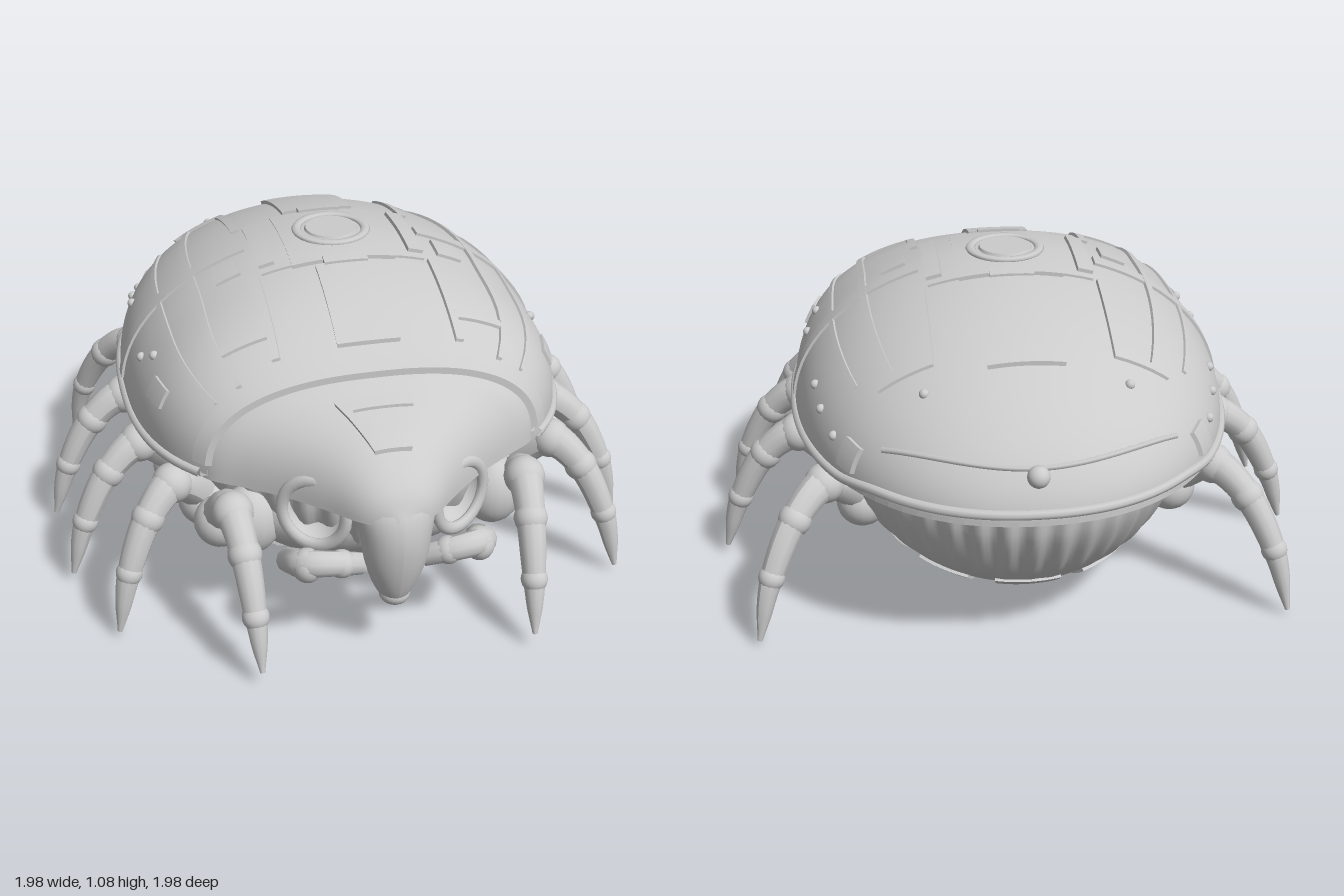
import * as THREE from 'three';
import { toCreasedNormals } from 'three/addons/utils/BufferGeometryUtils.js';

const mat = new THREE.MeshStandardMaterial({ color: 0xcccccc, side: THREE.DoubleSide });
const V = (x, y, z) => new THREE.Vector3(x, y, z);
const lerp = THREE.MathUtils.lerp;
const BASE = 0.56;

// Surface from a rule fn(u, v) -> Vector3
function grid(fn, nu, nv) {
  const g = new THREE.PlaneGeometry(1, 1, nu, nv);
  const p = g.attributes.position, uv = g.attributes.uv;
  for (let i = 0; i < p.count; i++) {
    const q = fn(uv.getX(i), uv.getY(i));
    p.setXYZ(i, q.x, q.y, q.z);
  }
  g.computeVertexNormals();
  return g;
}

// Raised plate that follows a surface; its outer row drops down as a skirt
function plate(fn, u0, u1, v0, v1, lift, nu = 14, nv = 14, taper = 1) {
  const g = grid((u, v) => {
    const edge = u < 1e-4 || u > 0.9999 || v < 1e-4 || v > 0.9999;
    const cu = THREE.MathUtils.clamp((u * nu - 1) / (nu - 2), 0, 1);
    const cv = THREE.MathUtils.clamp((v * nv - 1) / (nv - 2), 0, 1);
    const w = lerp(1, taper, cv);
    return fn(lerp(u0, u1, cu) * w, lerp(v0, v1, cv), edge ? -0.008 : lift);
  }, nu, nv);
  return toCreasedNormals(g, 0.6);
}

// Half width and height of the shell along z
const sup = (r, n) => Math.pow(Math.max(0, 1 - Math.pow(Math.min(1, r), n)), 1 / n);
const shellW = z => 0.72 * (z < 0 ? sup(-z / 0.98, 2.2) : sup(z / 0.76, 2.6));
const shellH = z => 0.505 * (z < 0 ? sup(-z / 0.98, 1.8) : sup(z / 0.76, 1.9));
const boxy = z => 1 - 0.2 * THREE.MathUtils.smoothstep(z, 0.1, 0.55);
const arch = (a, w, h, k, z, base) =>
  V(Math.sign(a) * w * Math.pow(Math.abs(Math.sin(a)), k), base + h * Math.pow(Math.max(0, Math.cos(a)), k), z);
const shellA = (a, z, lift = 0) => arch(a, shellW(z) + lift, shellH(z) + lift, boxy(z), z, BASE);
const angleAt = (x, w, k) => Math.sign(x) * Math.asin(Math.pow(Math.min(1, Math.abs(x) / w), 1 / k));
const shellX = (x, z, lift = 0) => shellA(angleAt(x, shellW(z), boxy(z)), z, lift);

// Head hood: points hold z, half width, height
const headCurve = new THREE.CatmullRomCurve3([V(0.5, 0.57, 0.335), V(0.58, 0.53, 0.31), V(0.65, 0.43, 0.275),
  V(0.73, 0.32, 0.24), V(0.83, 0.21, 0.19), V(0.93, 0.11, 0.1), V(0.97, 0.02, 0.02)]);
const headA = (a, t, lift = 0) => {
  const c = headCurve.getPoint(t);
  return arch(a, c.y + lift, c.z + lift, 0.85, c.x, 0.53);
};
const headX = (x, t, lift = 0) => headA(angleAt(x, headCurve.getPoint(t).y, 0.85), t, lift);

// Belly: profile of height and scale, with ribs on the upper flank
const bellyCurve = new THREE.CatmullRomCurve3([V(0.57, 1, 0), V(0.45, 0.97, 0), V(0.3, 0.87, 0), V(0.2, 0.76, 0),
  V(0.13, 0.64, 0), V(0.06, 0.42, 0), V(0.018, 0.2, 0), V(0.005, 0, 0)]);
function belly(a, t, lift = 0, ribs = false) {
  const c = bellyCurve.getPoint(t);
  const rib = ribs ? 0.012 * Math.cos(a * 44) * THREE.MathUtils.smoothstep(c.x, 0.17, 0.3) : 0;
  const s = c.y * (1 + rib) + lift * Math.min(1, c.y * 3);
  const dz = Math.cos(a) > 0 ? 0.82 : 0.935;
  return V(Math.sin(a) * 0.63 * s, c.x - lift * (1 - c.y), Math.cos(a) * dz * s);
}

// Tapered limb along a curve
function limb(points, radii, seg = 28, sides = 12) {
  const curve = new THREE.CatmullRomCurve3(points);
  const g = new THREE.TubeGeometry(curve, seg, 1, sides, false);
  const p = g.attributes.position, v = V(0, 0, 0);
  for (let i = 0; i < p.count; i++) {
    const t = Math.floor(i / (sides + 1)) / seg, f = t * (radii.length - 1);
    const j = Math.min(radii.length - 2, Math.floor(f)), c = curve.getPointAt(t);
    v.fromBufferAttribute(p, i).sub(c).multiplyScalar(lerp(radii[j], radii[j + 1], f - j)).add(c);
    p.setXYZ(i, v.x, v.y, v.z);
  }
  g.computeVertexNormals();
  return g;
}

export function createModel() {
  const model = new THREE.Group();
  const add = (name, geo, pos, parent = model) => {
    const m = new THREE.Mesh(geo, mat);
    m.name = name;
    if (pos) m.position.copy(pos);
    parent.add(m);
    return m;
  };
  const ball = (name, r, pos, s = [1, 1, 1], parent = model) => {
    const m = add(name, new THREE.SphereGeometry(r, 20, 14), pos, parent);
    m.scale.set(...s);
    return m;
  };

  // Domed shell
  add('shell', grid((u, v) => shellA((u - 0.5) * Math.PI, 0.6 - 1.58 * Math.sin(v * Math.PI / 2)), 64, 64));
  add('shellFrontLip', plate(shellA, -1.5, 1.5, 0.57, 0.605, 0.014, 60, 5));
  const rimPts = [], under = new THREE.Shape();
  for (let i = 0; i <= 60; i++) {
    const a = (i / 60 - 0.5) * 2, z = Math.abs(a) > 0.999 ? 0.58 : -0.98 + 1.56 * (1 - Math.cos(a * Math.PI / 2));
    const x = Math.sign(a) * shellW(z);
    rimPts.push(V(x, BASE + 0.025 * THREE.MathUtils.smoothstep(-z, 0.6, 0.8), z));
    i ? under.lineTo(x, z) : under.moveTo(x, z);
  }
  add('shellRim', new THREE.TubeGeometry(new THREE.CatmullRomCurve3(rimPts), 120, 0.016, 8));
  const floor = add('shellUnderside', new THREE.ExtrudeGeometry(under, { depth: 0.02, bevelEnabled: false }));
  floor.rotation.x = Math.PI / 2;
  floor.position.y = 0.565;

  // Rear band following the back edge
  const arcPts = [];
  for (let i = -12; i <= 12; i++) {
    const x = i / 12 * 0.45;
    arcPts.push(shellX(x, -0.92 + 0.9 * x * x, 0.002));
  }
  add('rearSeam', new THREE.TubeGeometry(new THREE.CatmullRomCurve3(arcPts), 40, 0.01, 6));
  ball('rearKnob', 0.035, V(0, 0.69, -0.94));

  // Top hatch and spine plates
  add('hatchPlate', plate(shellX, -0.27, 0.27, -0.2, 0.17, 0.008));
  add('hatchCore', plate(shellX, -0.17, 0.17, -0.21, 0.18, 0.013));
  const ring = add('hatchRing', new THREE.TorusGeometry(0.115, 0.016, 8, 36), V(0, 1.073, -0.02));
  ring.rotation.x = Math.PI / 2;
  ring.scale.z = 0.6;
  add('hatchCap', new THREE.CylinderGeometry(0.085, 0.095, 0.02, 32), V(0, 1.072, -0.02));
  add('rearSpinePlate', plate(shellX, -0.12, 0.12, -0.64, -0.24, 0.014));
  add('frontSpinePlate', plate(shellX, -0.1, 0.1, 0.2, 0.52, 0.014));
  for (const z of [-0.22, 0.19]) add('spineBracket', plate(shellX, -0.07, 0.07, z - 0.02, z + 0.02, 0.022, 8, 5));

  for (const s of [1, -1]) {
    const plateA = (n, a0, a1, z0, z1, l) => add(n, plate(shellA, s * a0, s * a1, z0, z1, l, 16, 20));
    const plateX = (n, x0, x1, z0, z1, l) => add(n, plate(shellX, s * x0, s * x1, z0, z1, l, 8, 16));
    // Shell ridges, panel frames and studs
    add('hatchClamp', plate(shellX, s * 0.22, s * 0.27, -0.17, 0.14, 0.02, 6, 10));
    plateA('crossBand', 0.42, 1.5, -0.075, -0.015, 0.009);
    plateA('upperRidge', 0.7, 0.74, -0.58, 0.55, 0.01);
    plateA('lowerRidge', 0.93, 0.96, -0.5, 0.55, 0.008);
    plateX('panelEdge', 0.28, 0.305, -0.58, -0.2, 0.01);
    plateX('panelEdge', 0.28, 0.305, 0.17, 0.52, 0.01);
    plateX('panelBar', 0.3, 0.45, -0.58, -0.555, 0.01);
    plateX('panelBar', 0.3, 0.45, 0.42, 0.445, 0.01);
    plateX('panelBlock', 0.33, 0.41, 0.02, 0.12, 0.01);
    plateA('sideBlock', 1.15, 1.3, 0.3, 0.4, 0.01);
    plateA('rearSideBlock', 1.2, 1.45, -0.69, -0.62, 0.014);
    for (const [a, z] of [[0.6, -0.66], [1.2, -0.3], [1.25, -0.42], [1.2, 0.12], [1.1, 0.2], [1.3, -0.55]])
      ball('stud', 0.016, shellA(s * a, z));

    // Eye socket, open to the front and side
    const socket = new THREE.Group();
    socket.name = 'eyeSocket';
    socket.position.set(s * 0.235, 0.49, 0.78);
    socket.rotation.y = s * 0.55;
    socket.scale.set(1, 1.1, 0.8);
    model.add(socket);
    add('socketRim', new THREE.TorusGeometry(0.105, 0.02, 10, 28), null, socket);
    const bowl = add('socketBowl', new THREE.SphereGeometry(0.105, 24, 10, 0, Math.PI * 2, 0, Math.PI / 2), null, socket);
    bowl.rotation.x = -Math.PI / 2;

    // Mouthparts and cheek
    add('mouthpart', limb([V(s * 0.1, 0.33, 0.85), V(s * 0.19, 0.37, 0.89), V(s * 0.28, 0.37, 0.87), V(s * 0.31, 0.3, 0.74)],
      [0.035, 0.04, 0.045, 0.04], 18, 10));
    ball('mouthJoint', 0.055, V(s * 0.275, 0.36, 0.865), [0.9, 1, 1]);
    ball('mouthJoint', 0.045, V(s * 0.17, 0.36, 0.88));
    ball('cheek', 0.1, V(s * 0.4, 0.38, 0.6), [1, 1.2, 0.9]);

    // Five legs: root and tip in plan, tip height
    const legs = [[0.475, 0.68, 0.44, 0.975, 0.06], [0.62, 0.48, 0.84, 0.63, 0.03], [0.69, 0.21, 0.955, 0.29, 0.04],
      [0.7, -0.12, 0.98, -0.095, 0.04], [0.62, -0.49, 0.86, -0.7, 0.025]];
    legs.forEach(([x0, z0, x1, z1, ty], i) => {
      const leg = new THREE.Group();
      leg.name = 'leg' + (i + 1);
      model.add(leg);
      const at = (f, y) => V(s * lerp(x0, x1, f), y, lerp(z0, z1, f));
      add('limb', limb([at(-0.45, 0.38), at(0.02, 0.475), at(0.42, 0.41), at(0.8, 0.23), at(1, ty)],
        [0.06, 0.062, 0.058, 0.05, 0.046, 0.042, 0.036, 0.026, 0.008]), null, leg);
      ball('hip', 0.085, at(-0.45, 0.35), [1, 1, 1], leg);
      ball('knee', 0.066, at(0.05, 0.475), [1, 1, 1], leg);
      ball('shinJoint', 0.054, at(0.46, 0.395), [1, 1, 1], leg);
      ball('ankle', 0.043, at(0.8, 0.23), [1, 1, 1], leg);
    });

    // Raised panels on the belly flank
    for (const a of [0.7, 1.25, 1.8, 2.35])
      add('bellyPanel', plate(belly, s * a, s * (a + 0.38), 0.46, 0.66, 0.014));
  }

  // Head hood, crest and snout
  add('headHood', grid((u, v) => headA((u - 0.5) * Math.PI, v), 48, 32));
  add('crestPlate', plate(headX, -0.14, 0.14, 0.36, 0.68, 0.014, 14, 14, 0.4));
  add('crestBar', plate(headX, -0.09, 0.09, 0.42, 0.46, 0.024, 8, 5));
  ball('face', 1, V(0, 0.4, 0.56), [0.42, 0.19, 0.19]);
  const snout = new THREE.CatmullRomCurve3([V(0.17, 0.64, 0.9), V(0.14, 0.56, 0.965), V(0.115, 0.47, 0.985),
    V(0.1, 0.37, 0.975), V(0.07, 0.27, 0.945), V(0.035, 0.2, 0.91)]);
  add('snout', grid((u, v) => {
    const c = snout.getPoint(v), a = u * Math.PI * 2;
    const depth = lerp(0.14, 0.06, v);
    return V(c.x * Math.sin(a), c.y, c.z - depth + depth * Math.cos(a));
  }, 28, 20));
  ball('chin', 0.05, V(0, 0.23, 0.88), [1, 0.8, 1]);

  // Ribbed belly with a keel
  add('belly', grid((u, v) => belly(u * Math.PI * 2, v, 0, true), 264, 36));
  for (const a of [0, Math.PI])
    add('keelPlate', plate(belly, a - 0.22, a + 0.22, 0.42, 0.85, 0.012));
  return model;
}
